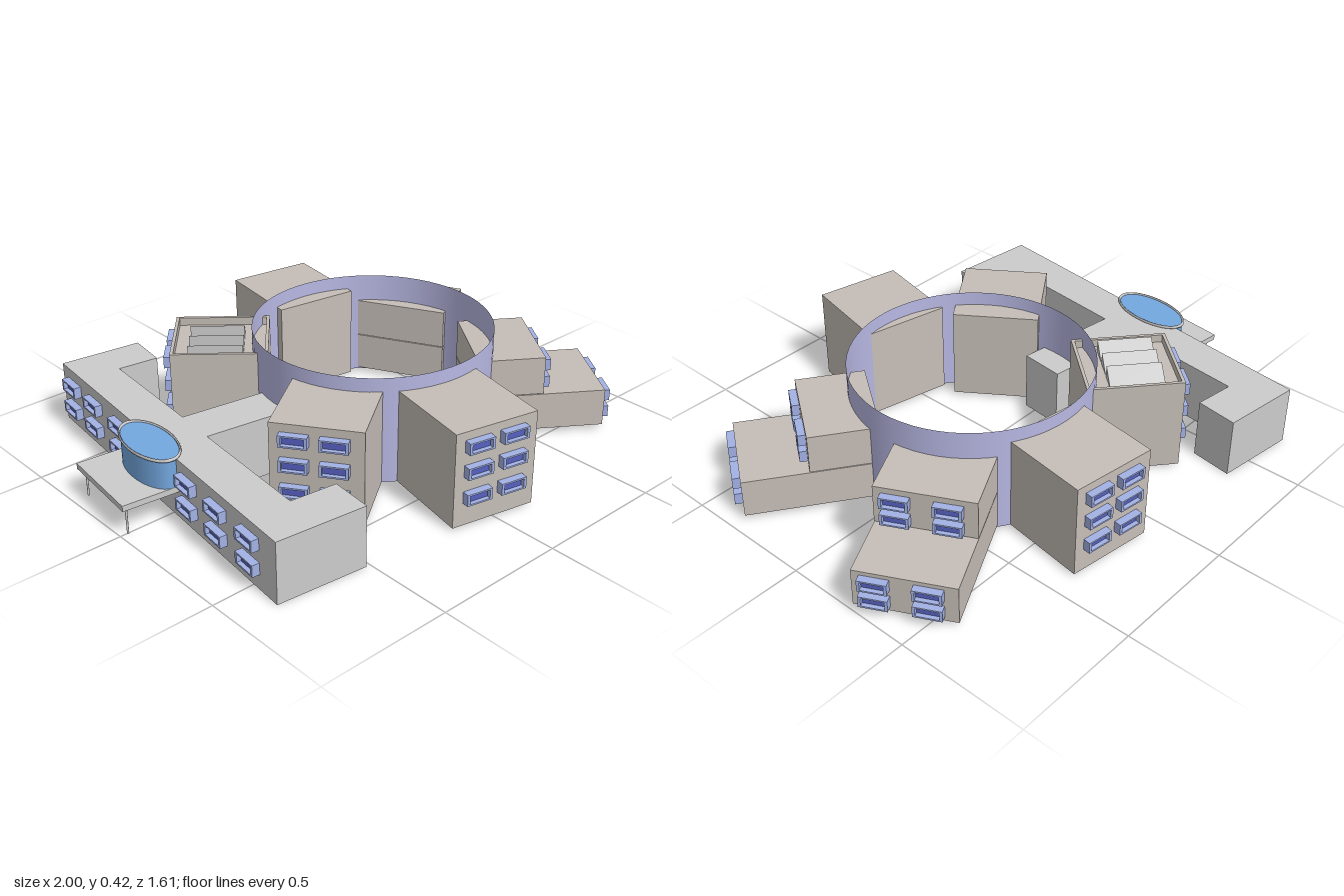
import * as THREE from 'three';

const paint = (color, side = THREE.FrontSide) => new THREE.MeshStandardMaterial({ color, side });
const GREY = paint(0xcccccc);
const STONE = paint(0xc6beb8);
const RING = paint(0xb8b8e4, THREE.DoubleSide);
const FRAME = paint(0xa3b2e6);
const PANE = paint(0x5660c0);
const GLASS = paint(0x74a8e0);

function add(parent, name, geometry, material, x = 0, y = 0, z = 0) {
  const mesh = new THREE.Mesh(geometry, material);
  mesh.name = name;
  mesh.position.set(x, y, z);
  parent.add(mesh);
  return mesh;
}

// Box standing between two heights, and between two depths along local z
function block(parent, name, width, y0, y1, z0, z1, material, x = 0) {
  return add(parent, name, new THREE.BoxGeometry(width, y1 - y0, z1 - z0), material,
    x, (y0 + y1) / 2, (z0 + z1) / 2);
}

// Group at (x, z) whose local +z points along the outward direction (ox, oz)
function station(parent, name, x, z, ox, oz) {
  const group = new THREE.Group();
  group.name = name;
  group.position.set(x, 0, z);
  group.rotation.y = Math.atan2(ox, oz);
  parent.add(group);
  return group;
}

// Rectangular frame in the xy plane, extruded along +z
function rectFrame(w, h, rimX, rimY, depth) {
  const rect = (T, a, b) => {
    const path = new T();
    path.moveTo(-a, -b);
    path.lineTo(a, -b);
    path.lineTo(a, b);
    path.lineTo(-a, b);
    path.closePath();
    return path;
  };
  const shape = rect(THREE.Shape, w / 2, h / 2);
  shape.holes.push(rect(THREE.Path, w / 2 - rimX, h / 2 - rimY));
  return new THREE.ExtrudeGeometry(shape, { depth, bevelEnabled: false });
}

const frameGeometry = rectFrame(0.1, 0.044, 0.01, 0.006, 0.028);
const paneGeometry = new THREE.BoxGeometry(0.084, 0.034, 0.012);

// Grid of projecting windows on a wall at depth z
function windows(parent, columns, rows, z) {
  for (const x of columns) for (const y of rows) {
    const unit = new THREE.Group();
    unit.name = 'window';
    unit.position.set(x, y, z);
    add(unit, 'windowFrame', frameGeometry, FRAME);
    add(unit, 'windowPane', paneGeometry, PANE, 0, 0, 0.006);
    parent.add(unit);
  }
}

// Three-storey block; the sawtooth version has a parapet and roof lights
function tallBlock(parent, x, z, ox, oz, sawtooth = false) {
  const g = station(parent, 'tallBlock', x, z, ox, oz);
  const w = 0.324, d = 0.352, roof = sawtooth ? 0.34 : 0.367;
  block(g, 'blockBody', w, 0.01, roof, -d / 2, d / 2, STONE);
  windows(g, [-0.075, 0.063], [0.12, 0.22, 0.314], d / 2);
  if (!sawtooth) return;
  const parapet = rectFrame(w, d, 0.012, 0.012, 0.03).rotateX(-Math.PI / 2);
  add(g, 'parapet', parapet, STONE, 0, roof, 0);
  const tooth = new THREE.Shape([
    new THREE.Vector2(-0.038, 0), new THREE.Vector2(0.038, 0), new THREE.Vector2(0.038, 0.045),
  ]);
  const toothGeometry = new THREE.ExtrudeGeometry(tooth, { depth: 0.2, bevelEnabled: false });
  for (const tx of [-0.083, 0, 0.083]) add(g, 'roofLight', toothGeometry, GREY, tx, roof, -0.085);
}

// Two-storey block whose upper floor is set back
function steppedBlock(parent, x, z, ox, oz) {
  const g = station(parent, 'steppedBlock', x, z, ox, oz);
  const w = 0.354, d = 0.49, columns = [-0.1, 0.08];
  block(g, 'lowerFloor', w, 0.02, 0.165, -d / 2, d / 2, STONE);
  block(g, 'upperFloor', w, 0.168, 0.315, -d / 2, 0.008, STONE);
  windows(g, columns, [0.06, 0.128], d / 2);
  windows(g, columns, [0.202, 0.271], 0.008);
}

export function createModel() {
  const model = new THREE.Group();
  model.name = 'campus';

  // Open circular wall that ties the blocks together
  add(model, 'ringWall', new THREE.CylinderGeometry(0.443, 0.443, 0.41, 64, 1, true),
    RING, 0.137, 0.215, 0);

  // Blocks radiating from the ring
  tallBlock(model, 0.22, -0.552, 0.142, -0.99);
  tallBlock(model, 0.027, 0.575, -0.211, 0.977);
  tallBlock(model, -0.323, 0.274, -0.82, 0.574);
  tallBlock(model, -0.274, -0.377, -0.76, -0.65, true);
  steppedBlock(model, 0.692, -0.312, 0.885, -0.465);
  steppedBlock(model, 0.646, 0.331, 0.824, 0.566);

  // Long entrance wing, with a spur reaching into the ring
  const plan = [
    [-0.692, -0.815], [-0.382, -0.775], [-0.404, -0.615], [-0.559, -0.636],
    [-0.604, -0.176], [-0.2, -0.118], [-0.217, 0.048], [-0.623, -0.01],
    [-0.674, 0.487], [-0.5, 0.508], [-0.516, 0.668], [-0.853, 0.631],
  ].map(([x, z]) => new THREE.Vector2(x, -z));
  const wing = new THREE.ExtrudeGeometry(new THREE.Shape(plan), { depth: 0.23, bevelEnabled: false });
  add(model, 'entranceWing', wing.rotateX(-Math.PI / 2), GREY);

  // Entrance side: windows, canopy on posts and oval glass hall
  const entrance = station(model, 'entranceSide', -0.773, -0.094, -0.994, -0.11);
  windows(entrance, [-0.63, -0.46, -0.265, 0.21, 0.395, 0.585], [0.08, 0.17], 0);
  block(entrance, 'canopy', 0.335, 0.103, 0.125, -0.01, 0.208, GREY, -0.03);
  for (const side of [-1, 1]) {
    add(entrance, 'canopyPost', new THREE.CylinderGeometry(0.004, 0.004, 0.105, 8), GREY,
      -0.03 + side * 0.145, 0.0525, 0.185);
  }
  const hall = add(entrance, 'glassHall', new THREE.CylinderGeometry(1, 1, 0.112, 48), GLASS,
    -0.015, 0.179, 0.018);
  hall.scale.set(0.152, 1, 0.076);
  const rim = add(entrance, 'hallRim',
    new THREE.TorusGeometry(0.155, 0.006, 6, 48).rotateX(Math.PI / 2), GREY, -0.015, 0.235, 0.018);
  rim.scale.set(1, 1, 0.52);

  return model;
}
